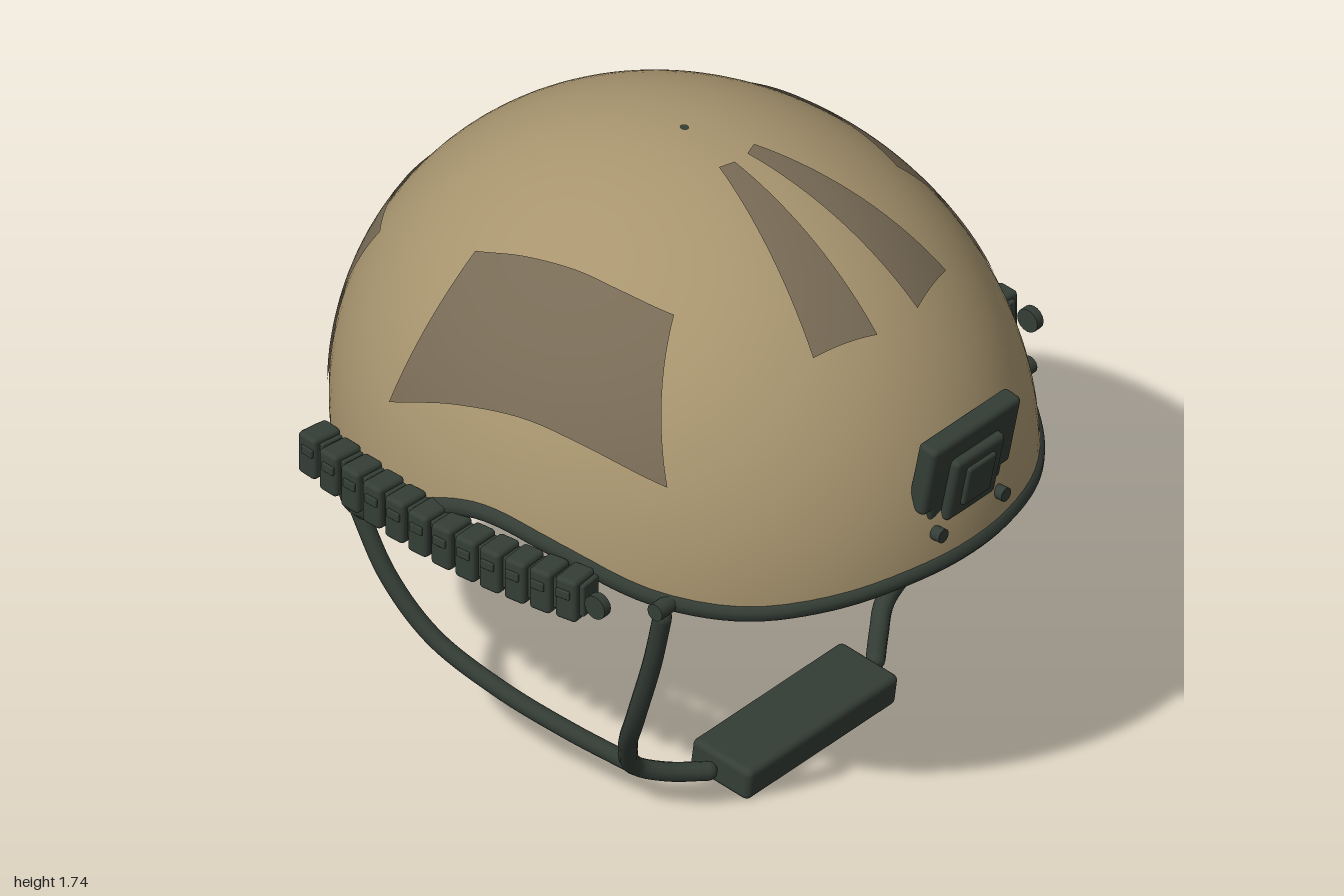
import * as THREE from 'three';
import { RoundedBoxGeometry } from 'three/addons/geometries/RoundedBoxGeometry.js';
import { ParametricGeometry } from 'three/addons/geometries/ParametricGeometry.js';

const mat = (name, color, side = THREE.FrontSide) => {
  const m = new THREE.MeshStandardMaterial({ color, side });
  m.name = name;
  return m;
};

// The shell is an ellipsoid cut by a wavy rim
const C = new THREE.Vector3(0, 0.83, -0.03);
const R = new THREE.Vector3(0.83, 0.91, 0.97);
const INNER = 0.965;
// Rim height from front (first) to back (last), every 15 degrees
const rimCurve = new THREE.SplineCurve(
  [0.865, 0.86, 0.84, 0.83, 0.865, 0.94, 0.97, 0.87, 0.71, 0.615, 0.575, 0.56, 0.555]
    .map((y, i) => new THREE.Vector2(i, y)));
const rimY = (a) => rimCurve.getPoint(Math.acos(Math.cos(a)) / Math.PI).y;
const rimPhi = (a, k) => Math.acos((rimY(a) - C.y) / (R.y * k));

function onShell(a, phi, k, out = new THREE.Vector3()) {
  return out.set(Math.sin(a) * Math.sin(phi), Math.cos(phi), Math.cos(a) * Math.sin(phi))
    .multiply(R).multiplyScalar(k).add(C);
}

function shellGeometry(k, dir) {
  return new ParametricGeometry((u, v, p) => {
    const a = dir * u * Math.PI * 2;
    onShell(a, THREE.MathUtils.lerp(0.012, rimPhi(a, k), v), k, p);
  }, 96, 40);
}

// Patch between two edge curves drawn in a plane, pushed onto the shell along the third axis
function patchGeometry(edgeA, edgeB, axes, axis, sign) {
  const [a, b] = [edgeA, edgeB].map((e) => new THREE.SplineCurve(e.map((q) => new THREE.Vector2(...q))));
  const k = 1.006;
  return new ParametricGeometry((u, v, p) => {
    const q = a.getPoint(u).lerp(b.getPoint(u), v);
    p[axes[0]] = q.x;
    p[axes[1]] = q.y;
    const r = axes.reduce((s, n) => s - ((p[n] - C[n]) / (R[n] * k)) ** 2, 1);
    p[axis] = C[axis] + sign * R[axis] * k * Math.sqrt(Math.max(r, 0));
  }, 24, 16);
}

export function createModel() {
  const model = new THREE.Group();
  model.name = 'helmet';
  const tan = mat('tan shell', 0xa8956f);
  const brown = mat('brown patch', 0x786b56, THREE.DoubleSide);
  const dark = mat('dark green fittings', 0x343d36);

  const add = (name, geo, material, pos = [0, 0, 0], rot = [0, 0, 0], parent = model) => {
    const m = new THREE.Mesh(geo, material);
    m.name = name;
    m.position.set(...pos);
    m.rotation.set(...rot);
    parent.add(m);
    return m;
  };
  const box = (w, h, d, r = 0.012) => new RoundedBoxGeometry(w, h, d, 2, r);
  const strap = (name, pts, r) => {
    const curve = new THREE.CatmullRomCurve3(pts.map((p) => new THREE.Vector3(...p)));
    add(name, new THREE.TubeGeometry(curve, 48, r, 10), dark);
    for (const p of [pts[0], pts[pts.length - 1]]) add(name + 'End', new THREE.SphereGeometry(r, 10, 8), dark, p);
  };

  // Shell and edge trim
  add('outerShell', shellGeometry(1, -1), tan);
  add('innerShell', shellGeometry(INNER, 1), tan);
  const rim = [];
  for (let i = 0; i < 72; i++) {
    const a = (i / 72) * Math.PI * 2;
    rim.push(onShell(a, rimPhi(a, 0.985), 0.985));
  }
  add('rimTrim', new THREE.TubeGeometry(new THREE.CatmullRomCurve3(rim, true), 160, 0.027, 10, true), dark);

  // Back patch
  add('backPatch', patchGeometry(
    [[-0.445, 0.83], [0, 0.82], [0.445, 0.83]],
    [[-0.38, 1.31], [0, 1.31], [0.38, 1.31]], ['x', 'y'], 'z', -1), brown);

  for (const s of [1, -1]) {
    // Side and front patches
    add('sidePatch', patchGeometry(
      [[0.46, 1.17], [0.25, 1.23], [0.04, 1.25], [-0.19, 1.2], [-0.41, 1.1]],
      [[0.31, 1.535], [0.16, 1.56], [0.01, 1.57], [-0.15, 1.55], [-0.3, 1.505]], ['z', 'y'], 'x', s), brown);
    add('frontStrip', patchGeometry(
      [[0.025 * s, 0.16], [0.07 * s, 0.145]],
      [[0.08 * s, 0.685], [0.265 * s, 0.625]], ['x', 'z'], 'y', 1), brown);

    // Accessory rail of ridged blocks following the side
    const rail = new THREE.Group();
    rail.name = s > 0 ? 'leftRail' : 'rightRail';
    model.add(rail);
    for (let i = 0; i < 12; i++) {
      const z = 0.31 - i * 0.08;
      const y = 0.873 + 0.13 * (z - 0.08) ** 2;
      const x = s * (0.86 - 0.15 * (z + 0.03) ** 2);
      const rot = [0, Math.atan(-0.3 * s * (z + 0.03)), 0];
      add('railBlock', box(0.095, 0.125, 0.066), dark, [x, y, z], rot, rail);
      add('railCore', box(0.07, 0.095, 0.09, 0.005), dark, [x - 0.008 * s, y, z], rot, rail);
      add('railSlot', box(0.012, 0.025, 0.042, 0.003), dark, [x + 0.048 * s, y + 0.02, z], rot, rail);
    }
    const sideways = [0, 0, Math.PI / 2];
    add('railKnob', new THREE.CylinderGeometry(0.034, 0.034, 0.025, 16), dark, [0.865 * s, 0.89, 0.405], sideways);
    add('strapBolt', new THREE.CylinderGeometry(0.025, 0.025, 0.06, 12), dark, [0.72 * s, 0.85, 0.5], sideways);

    // Chin straps
    strap('frontStrap', [[0.72, 0.82, 0.5], [0.7, 0.65, 0.45], [0.66, 0.42, 0.36], [0.59, 0.26, 0.275],
      [0.5, 0.13, 0.225], [0.42, 0.09, 0.27], [0.335, 0.075, 0.33]].map(([x, y, z]) => [x * s, y, z]), 0.026);
    strap('rearStrap', [[0.67, 0.69, -0.57], [0.66, 0.5, -0.47], [0.635, 0.355, -0.34], [0.6, 0.26, -0.15],
      [0.56, 0.195, 0.05], [0.51, 0.14, 0.22]].map(([x, y, z]) => [x * s, y, z]), 0.024);

    // Mount screws
    add('mountScrew', new THREE.CylinderGeometry(0.02, 0.02, 0.03, 12), dark, [0.125 * s, 0.958, 0.93], [Math.PI / 2, 0, 0]);
  }

  // Chin cup and buckle
  add('chinCup', box(0.6, 0.095, 0.2, 0.018), dark, [0, 0.06, 0.338], [0.13, 0, 0]);
  add('buckle', box(0.11, 0.145, 0.075, 0.015), dark, [0.495, 0.287, 0.262], [0, 0, 0.28]);

  // Front mount, leaning forward
  const mount = new THREE.Group();
  mount.name = 'frontMount';
  mount.position.set(0, 1.12, 0.905);
  mount.rotation.x = 0.2;
  model.add(mount);
  add('mountPlate', box(0.35, 0.22, 0.06, 0.015), dark, [0, 0.02, 0], [0, 0, 0], mount);
  add('mountFoot', box(0.29, 0.08, 0.06, 0.015), dark, [0, -0.09, 0], [0, 0, 0], mount);
  add('mountFrame', box(0.195, 0.2, 0.05, 0.015), dark, [0, -0.035, 0.03], [0, 0, 0], mount);
  add('mountButton', box(0.11, 0.125, 0.03, 0.008), dark, [0, -0.03, 0.052], [0, 0, 0], mount);

  // Inner pads facing the middle: azimuth, polar angle, width, height
  const pads = [[0, 0.97, 0.42, 0.36], [0, 1.42, 0.3, 0.17], [Math.PI, 1.05, 0.42, 0.34], [0, 0.01, 0.36, 0.36],
    [1.35, 0.98, 0.42, 0.32], [-1.35, 0.98, 0.42, 0.32]];
  for (const [a, phi, w, h] of pads) {
    const pad = add('innerPad', box(w, h, 0.06, 0.02), dark);
    onShell(a, phi, 0.905, pad.position);
    pad.lookAt(C);
  }
  return model;
}
